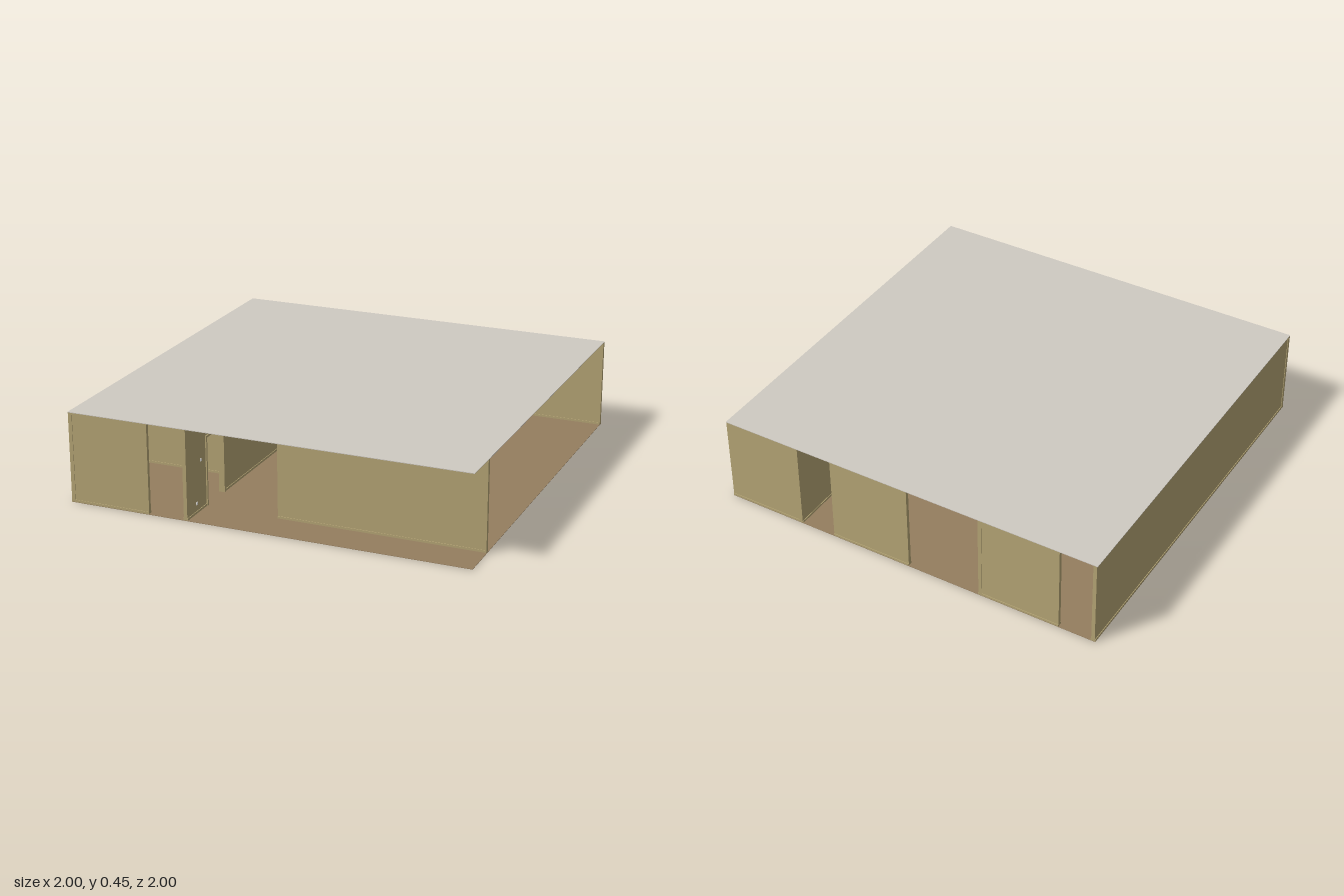
import * as THREE from 'three';

const H = 0.447;      // wall height
const T = 0.018;      // wall thickness
const EDGE = 0.988;   // centre line of outer walls
const DOOR_H = 0.35;

const mat = (name, color) => {
  const m = new THREE.MeshStandardMaterial({ color });
  m.name = name;
  return m;
};

export function createModel() {
  const group = new THREE.Group();
  const wallPaint = mat('wall tan', 0xb5a575);
  const floorWood = mat('floor brown', 0x957e5f);
  const ceilingPaint = mat('ceiling grey', 0xcfcac2);
  const plateWhite = mat('plate white', 0xe6e4e0);

  // Box given by its lower and upper corners
  const box = (name, material, x0, y0, z0, x1, y1, z1, parent = group) => {
    const m = new THREE.Mesh(new THREE.BoxGeometry(x1 - x0, y1 - y0, z1 - z0), material);
    m.position.set((x0 + x1) / 2, (y0 + y1) / 2, (z0 + z1) / 2);
    m.name = name;
    parent.add(m);
  };

  // Floor and ceiling slabs
  box('floor', floorWood, -1, 0, -1, 1, 0.002, 1);
  box('ceiling', ceilingPaint, -1, H, -1, 1, 0.45, 1);

  // A slab of wall running along x or z, centred on the line 'at'
  const slab = (parent, name, axis, at, a, b, y0, y1, t) => {
    const h = t / 2;
    if (axis === 'x') box(name, wallPaint, a, y0, at - h, b, y1, at + h, parent);
    else box(name, wallPaint, at - h, y0, a, at + h, y1, b, parent);
  };

  // Wall with baseboards and framed doorways ([start, end] pairs)
  const wall = (name, axis, at, a, b, doors = []) => {
    const g = new THREE.Group();
    g.name = name;
    group.add(g);
    let start = a;
    for (const [d0, d1] of [...doors, [b, b]]) {
      slab(g, 'wallPanel', axis, at, start, d0, 0.002, H, T);
      slab(g, 'baseboard', axis, at, start, d0, 0.002, 0.013, T + 0.006);
      start = d1;
    }
    for (const [d0, d1] of doors) {
      slab(g, 'lintel', axis, at, d0, d1, DOOR_H, H, T);
      slab(g, 'doorJamb', axis, at, d0, d0 + 0.01, 0.002, DOOR_H, T + 0.012);
      slab(g, 'doorJamb', axis, at, d1 - 0.01, d1, 0.002, DOOR_H, T + 0.012);
      slab(g, 'doorHead', axis, at, d0 + 0.01, d1 - 0.01, DOOR_H - 0.01, DOOR_H, T + 0.012);
    }
  };

  // Outer walls, with full-height openings between the sections
  wall('westWall', 'z', -EDGE, -1, 1);
  wall('frontWestWall', 'x', EDGE, -1, -0.59);
  wall('frontPorchWall', 'x', 0.8, -0.02, 0.997);
  wall('backEastWall', 'x', -EDGE, 0.6, 1);
  wall('backMiddleWall', 'x', -EDGE, -0.01, 0.41);
  wall('backWestWall', 'x', -EDGE, -0.81, -0.4);

  // Inner walls
  wall('hallWall', 'z', -0.4, -1, 0.998, [[0.61, 0.8]]);
  wall('eastCorridorWall', 'z', 0.6, -1, 0.8, [[-0.4, -0.2], [0.2, 0.4]]);
  wall('frontRoomDivider', 'x', 0.4, -0.98, -0.4);
  wall('backRoomDivider', 'x', -0.4, -0.98, -0.6);

  // Switches and sockets on the +x faces of the inner walls: wall x, y, z
  const plates = [
    [-0.4, 0.25, 0.85], [-0.4, 0.05, 0.9], [-0.4, 0.25, -0.95],
    [0.6, 0.05, 0.73], [0.6, 0.25, -0.95],
  ];
  for (const [x, y, z] of plates) {
    const f = x + T / 2;
    box(y > 0.1 ? 'lightSwitch' : 'socket', plateWhite,
      f, y - 0.007, z - 0.006, f + 0.003, y + 0.007, z + 0.006);
  }

  return group;
}
